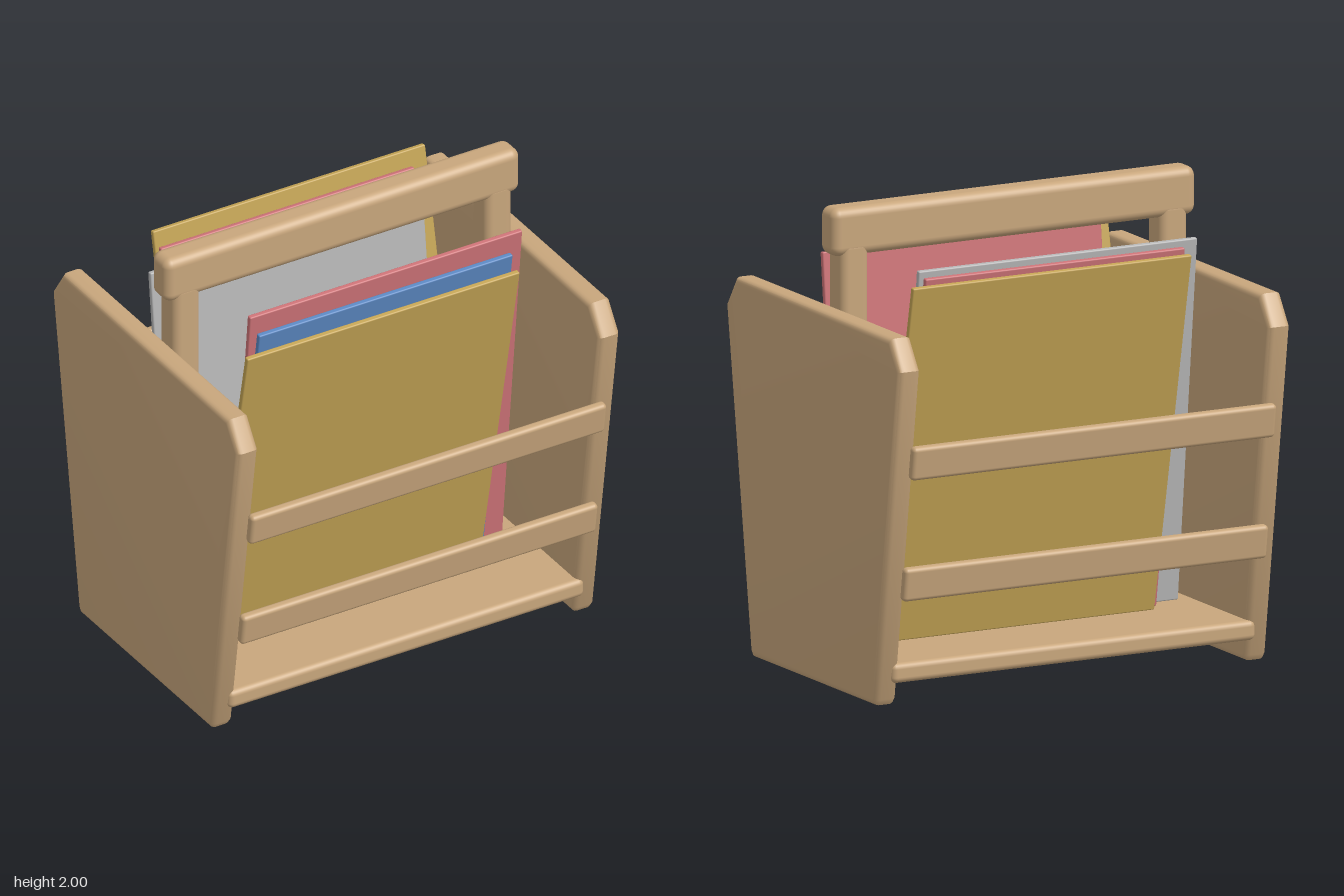
import * as THREE from 'three';
import { toCreasedNormals } from 'three/addons/utils/BufferGeometryUtils.js';
import { RoundedBoxGeometry } from 'three/addons/geometries/RoundedBoxGeometry.js';

const material = (name, color) => {
  const m = new THREE.MeshStandardMaterial({ color });
  m.name = name;
  return m;
};

export function createModel() {
  const wood = material('wood', 0xc8a67c);
  const yellow = material('yellow', 0xc4a455);
  const blue = material('blue', 0x5b88c2);
  const red = material('red', 0xcd7377);
  const grey = material('grey', 0xb6b6b6);

  const rack = new THREE.Group();
  rack.name = 'magazineRack';

  const add = (name, geometry, mat, x, y, z, tilt = 0) => {
    const mesh = new THREE.Mesh(geometry, mat);
    mesh.name = name;
    mesh.position.set(x, y, z);
    mesh.rotation.x = tilt;
    rack.add(mesh);
    return mesh;
  };

  // Flared side panels with clipped top corners and rounded edges
  const bevel = 0.025;
  const outline = [[0.52, 0.005], [0.538, 0.03], [0.745, 1.455], [0.66, 1.582]];
  const points = [
    ...outline.map(([z, y]) => new THREE.Vector2(z, y)),
    ...outline.slice().reverse().map(([z, y]) => new THREE.Vector2(-z, y)),
  ];
  const panel = new THREE.ExtrudeGeometry(new THREE.Shape(points), {
    depth: 0.1 - 2 * bevel, bevelEnabled: true, bevelThickness: bevel,
    bevelSize: bevel, bevelOffset: -bevel, bevelSegments: 4,
  });
  panel.translate(0, 0, -(0.1 - 2 * bevel) / 2);
  panel.rotateY(Math.PI / 2);
  const panelGeometry = toCreasedNormals(panel, 0.6);
  for (const side of [-1, 1]) {
    add(side > 0 ? 'leftPanel' : 'rightPanel', panelGeometry, wood, side * 0.87, 0, 0);
  }

  // Floor board
  add('floorBoard', new RoundedBoxGeometry(1.71, 0.085, 1.14, 3, 0.025), wood, 0, 0.14, 0);

  // Two slats on the front and back, leaning with the panels
  const slat = new RoundedBoxGeometry(1.71, 0.145, 0.045, 3, 0.018);
  for (const side of [-1, 1]) {
    const face = side > 0 ? 'front' : 'back';
    add(face + 'LowerSlat', slat, wood, 0, 0.535, side * 0.65, side * 0.146);
    add(face + 'UpperSlat', slat, wood, 0, 1.06, side * 0.72, side * 0.146);
  }

  // Carrying handle on two posts
  add('handleBar', new RoundedBoxGeometry(1.71, 0.205, 0.13, 4, 0.04), wood, 0, 1.898, 0);
  const post = new RoundedBoxGeometry(0.13, 0.58, 0.13, 4, 0.035);
  for (const side of [-1, 1]) {
    add(side > 0 ? 'leftPost' : 'rightPost', post, wood, side * 0.75, 1.57, 0);
  }

  // Magazines: colour, x centre, width, z at the bottom and at the top
  const magazines = [
    ['frontOuterMagazine', yellow, -0.09, 1.31, 0.205, 0.52],
    ['frontMiddleMagazine', blue, 0, 1.22, 0.15, 0.39],
    ['frontInnerMagazine', red, 0.085, 1.31, 0.09, 0.25],
    ['backInnerMagazine', grey, -0.09, 1.31, -0.09, -0.255],
    ['backMiddleMagazine', red, 0, 1.22, -0.15, -0.395],
    ['backOuterMagazine', yellow, 0.085, 1.31, -0.205, -0.525],
  ];
  const bottom = 0.19, top = 1.75;
  for (const [name, mat, x, width, z0, z1] of magazines) {
    const length = Math.hypot(top - bottom, z1 - z0);
    add(name, new RoundedBoxGeometry(width, length, 0.024, 2, 0.006), mat,
      x, (top + bottom) / 2, (z0 + z1) / 2, Math.atan2(z1 - z0, top - bottom));
  }

  return rack;
}
